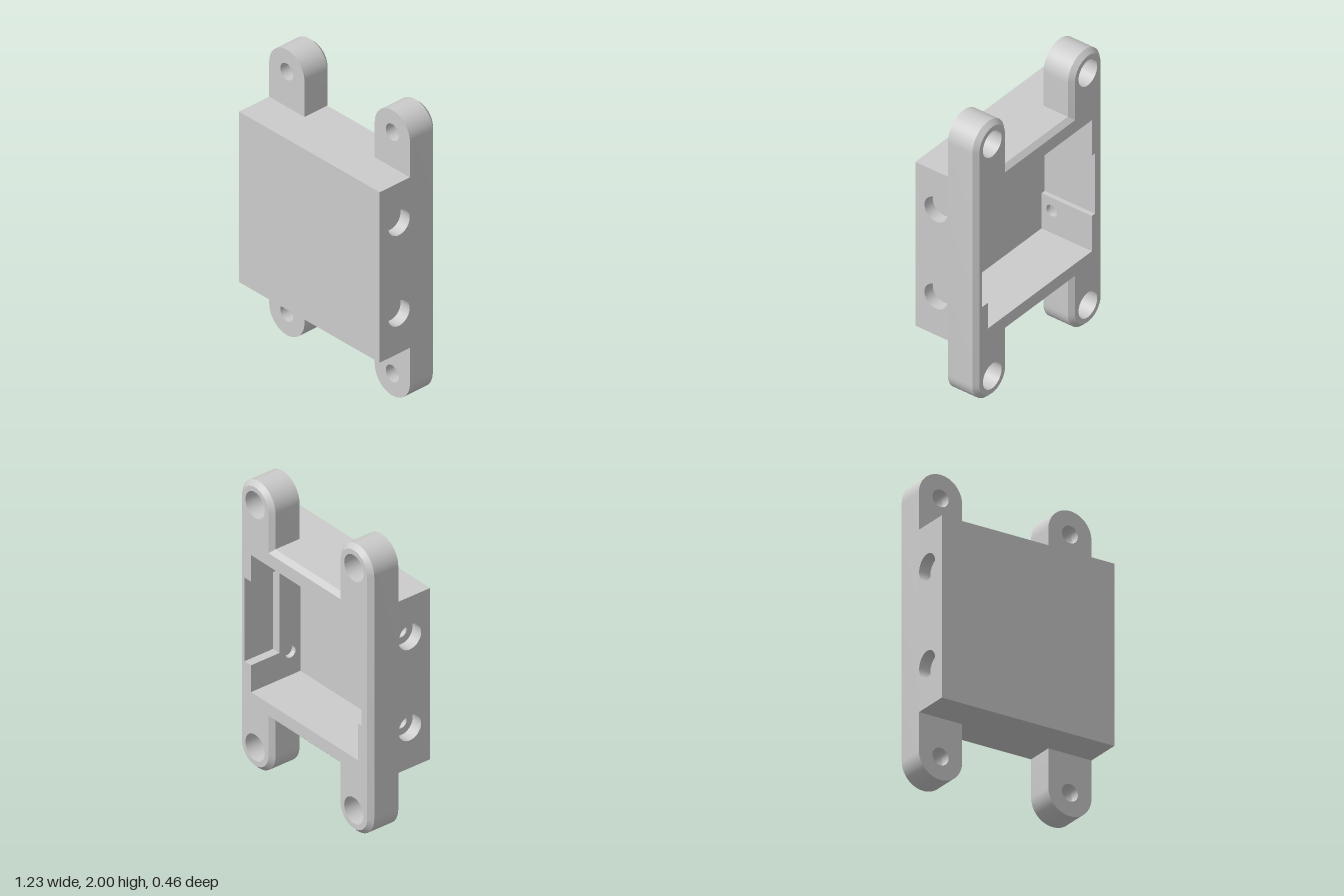
import * as THREE from 'three';
import { toCreasedNormals } from 'three/addons/utils/BufferGeometryUtils.js';

const MAT = new THREE.MeshStandardMaterial({ color: 0xcccccc, side: THREE.DoubleSide });

// Main dimensions
const W = 0.615, BOTTOM = 0.405, TOP = 1.6, FRONT = 0.23, BACK = -0.23;
const LUG_R = 0.154, LUG_X = W - LUG_R, LUG_FRONT = -0.015, BEVEL = 0.03;
const CAV = { x: 0.5, y0: 0.523, y1: 1.48, z: 0.15 };
const LUG_HOLE = 0.057, LUG_BORE = 0.09, LUG_STEP = -0.08;
const SCREW = { z: 0.074, ys: [0.685, 1.32], r: 0.04, bore: 0.087, step: 0.535 };
// Relief notches in the cavity side walls, one per side
const NOTCH = {
  left: { side: 1, x: 0.56, y0: 0.71, y1: 1.294, z: -0.01 },
  right: { side: -1, x: 0.53, y0: 0.78, y1: 1.22, z: 0.149 },
};

const rect = (a0, b0, a1, b1) => [[a0, b0], [a1, b0], [a1, b1], [a0, b1]];

function arc(cx, cy, r, from, to, n) {
  return Array.from({ length: n + 1 }, (_, i) => {
    const t = from + ((to - from) * i) / n;
    return [cx + r * Math.cos(t), cy + r * Math.sin(t)];
  });
}
const circle = (cx, cy, r) => arc(cx, cy, r, 0, Math.PI * 2, 48).slice(0, -1);

function mesh(group, name, geometry) {
  const m = new THREE.Mesh(geometry, MAT);
  m.name = name;
  group.add(m);
}

// Flat face with holes. Points are (z,y) for axis x, (x,z) for axis y, (x,y) for axis z.
function face(group, name, axis, sign, offset, outer, holes = []) {
  const flipA = (axis === 'x' && sign > 0) || (axis === 'z' && sign < 0);
  const flipB = axis === 'y' && sign > 0;
  const map = (pts) => pts.map(([a, b]) => new THREE.Vector2(flipA ? -a : a, flipB ? -b : b));
  const shape = new THREE.Shape(map(outer));
  shape.holes = holes.map((h) => new THREE.Path(map(h)));
  const g = new THREE.ShapeGeometry(shape);
  if (axis === 'x') g.rotateY((sign * Math.PI) / 2).translate(offset, 0, 0);
  if (axis === 'y') g.rotateX((-sign * Math.PI) / 2).translate(0, offset, 0);
  if (axis === 'z') {
    if (sign < 0) g.rotateY(Math.PI);
    g.translate(0, 0, offset);
  }
  mesh(group, name, g);
}

// Closed band of wall between two matching outlines at different depths
function band(group, name, a, za, b, zb) {
  const pos = [];
  a.forEach((p, i) => {
    const j = (i + 1) % a.length;
    const q = a[j], r = b[j], s = b[i];
    pos.push(...p, za, ...q, za, ...r, zb, ...p, za, ...r, zb, ...s, zb);
  });
  const g = new THREE.BufferGeometry();
  g.setAttribute('position', new THREE.Float32BufferAttribute(pos, 3));
  mesh(group, name, toCreasedNormals(g, 0.5));
}

// Lining of a round hole along x or z
function bore(group, name, axis, r, from, to, y, other) {
  const g = new THREE.CylinderGeometry(r, r, Math.abs(to - from), 48, 1, true);
  const mid = (from + to) / 2;
  if (axis === 'x') g.rotateZ(Math.PI / 2).translate(mid, y, other);
  else g.rotateX(Math.PI / 2).translate(other, y, mid);
  mesh(group, name, g);
}

// Outline of the back plate with its four lugs, shrunk by an inset
function plateOutline(i) {
  const r = LUG_R - i, P = Math.PI, yl = LUG_R, yh = 2 - LUG_R;
  const nx = W - 2 * LUG_R + i;
  return [
    ...arc(LUG_X, yl, r, P, 2 * P, 32),
    ...arc(LUG_X, yh, r, 0, P, 32),
    [nx, TOP - i], [-nx, TOP - i],
    ...arc(-LUG_X, yh, r, 0, P, 32),
    ...arc(-LUG_X, yl, r, P, 2 * P, 32),
    [-nx, BOTTOM + i], [nx, BOTTOM + i],
  ];
}

function buildBackPlate() {
  const g = new THREE.Group();
  g.name = 'backPlate';
  const full = plateOutline(0), inset = plateOutline(BEVEL);
  band(g, 'plateEdge', full, BACK + BEVEL, full, LUG_FRONT);
  band(g, 'plateChamfer', inset, BACK, full, BACK + BEVEL);
  const { left: l, right: r } = NOTCH;
  const opening = [
    [-CAV.x, CAV.y0], [CAV.x, CAV.y0],
    [CAV.x, l.y0], [l.x, l.y0], [l.x, l.y1], [CAV.x, l.y1],
    [CAV.x, CAV.y1], [-CAV.x, CAV.y1],
    [-CAV.x, r.y1], [-r.x, r.y1], [-r.x, r.y0], [-CAV.x, r.y0],
  ];
  const holes = [opening];
  for (const sx of [-1, 1]) for (const y of [LUG_R, 2 - LUG_R]) holes.push(circle(sx * LUG_X, y, LUG_BORE));
  face(g, 'backFace', 'z', -1, BACK, inset, holes);
  return g;
}

// Front face and counterbored hole of one lug
function buildLug(sx, upper) {
  const g = new THREE.Group();
  g.name = (upper ? 'upper' : 'lower') + (sx > 0 ? 'Left' : 'Right') + 'Lug';
  const x = sx * LUG_X, y = upper ? 2 - LUG_R : LUG_R, root = upper ? TOP : BOTTOM;
  const start = upper ? 0 : Math.PI;
  const end = upper ? [[x - LUG_R, root], [x + LUG_R, root]] : [[x + LUG_R, root], [x - LUG_R, root]];
  const hole = circle(x, y, LUG_HOLE);
  face(g, 'lugFront', 'z', 1, LUG_FRONT, [...arc(x, y, LUG_R, start, start + Math.PI, 32), ...end], [hole]);
  face(g, 'boreShoulder', 'z', -1, LUG_STEP, circle(x, y, LUG_BORE), [hole]);
  bore(g, 'counterbore', 'z', LUG_BORE, BACK, LUG_STEP, y, x);
  bore(g, 'boltHole', 'z', LUG_HOLE, LUG_STEP, LUG_FRONT, y, x);
  return g;
}

function buildHousing() {
  const g = new THREE.Group();
  g.name = 'housing';
  face(g, 'frontFace', 'z', 1, FRONT, rect(-W, BOTTOM, W, TOP));
  face(g, 'topFace', 'y', 1, TOP, rect(-W, LUG_FRONT, W, FRONT));
  face(g, 'bottomFace', 'y', -1, BOTTOM, rect(-W, LUG_FRONT, W, FRONT));
  const bores = SCREW.ys.map((y) => circle(SCREW.z, y, SCREW.bore));
  for (const s of [-1, 1]) {
    face(g, 'sideFace', 'x', s, s * W, rect(LUG_FRONT, BOTTOM, FRONT, TOP), bores);
    for (const y of SCREW.ys) {
      face(g, 'screwShoulder', 'x', s, s * SCREW.step, circle(SCREW.z, y, SCREW.bore), [circle(SCREW.z, y, SCREW.r)]);
      bore(g, 'screwCounterbore', 'x', SCREW.bore, s * SCREW.step, s * W, y, SCREW.z);
      bore(g, 'screwHole', 'x', SCREW.r, s * CAV.x, s * SCREW.step, y, SCREW.z);
    }
  }
  return g;
}

function buildCavity() {
  const g = new THREE.Group();
  g.name = 'cavity';
  face(g, 'cavityFloor', 'z', -1, CAV.z, rect(-CAV.x, CAV.y0, CAV.x, CAV.y1));
  face(g, 'cavityTop', 'y', -1, CAV.y1, rect(-CAV.x, BACK, CAV.x, CAV.z));
  face(g, 'cavityBottom', 'y', 1, CAV.y0, rect(-CAV.x, BACK, CAV.x, CAV.z));
  const pilots = SCREW.ys.map((y) => circle(SCREW.z, y, SCREW.r));
  for (const n of Object.values(NOTCH)) {
    const s = n.side, a = s * CAV.x, b = s * n.x;
    // Inner side wall with the notch cut in from the back
    face(g, 'cavitySide', 'x', -s, a, [
      [BACK, CAV.y0], [CAV.z, CAV.y0], [CAV.z, CAV.y1], [BACK, CAV.y1],
      [BACK, n.y1], [n.z, n.y1], [n.z, n.y0], [BACK, n.y0],
    ], pilots);
    face(g, 'notchWall', 'x', -s, b, rect(BACK, n.y0, n.z, n.y1));
    face(g, 'notchEnd', 'z', -1, n.z, rect(a, n.y0, b, n.y1));
    face(g, 'notchTop', 'y', -1, n.y1, rect(a, BACK, b, n.z));
    face(g, 'notchBottom', 'y', 1, n.y0, rect(a, BACK, b, n.z));
  }
  return g;
}

export function createModel() {
  const model = new THREE.Group();
  model.name = 'mountingHousing';
  model.add(buildBackPlate(), buildHousing(), buildCavity());
  for (const sx of [-1, 1]) for (const upper of [false, true]) model.add(buildLug(sx, upper));
  return model;
}
